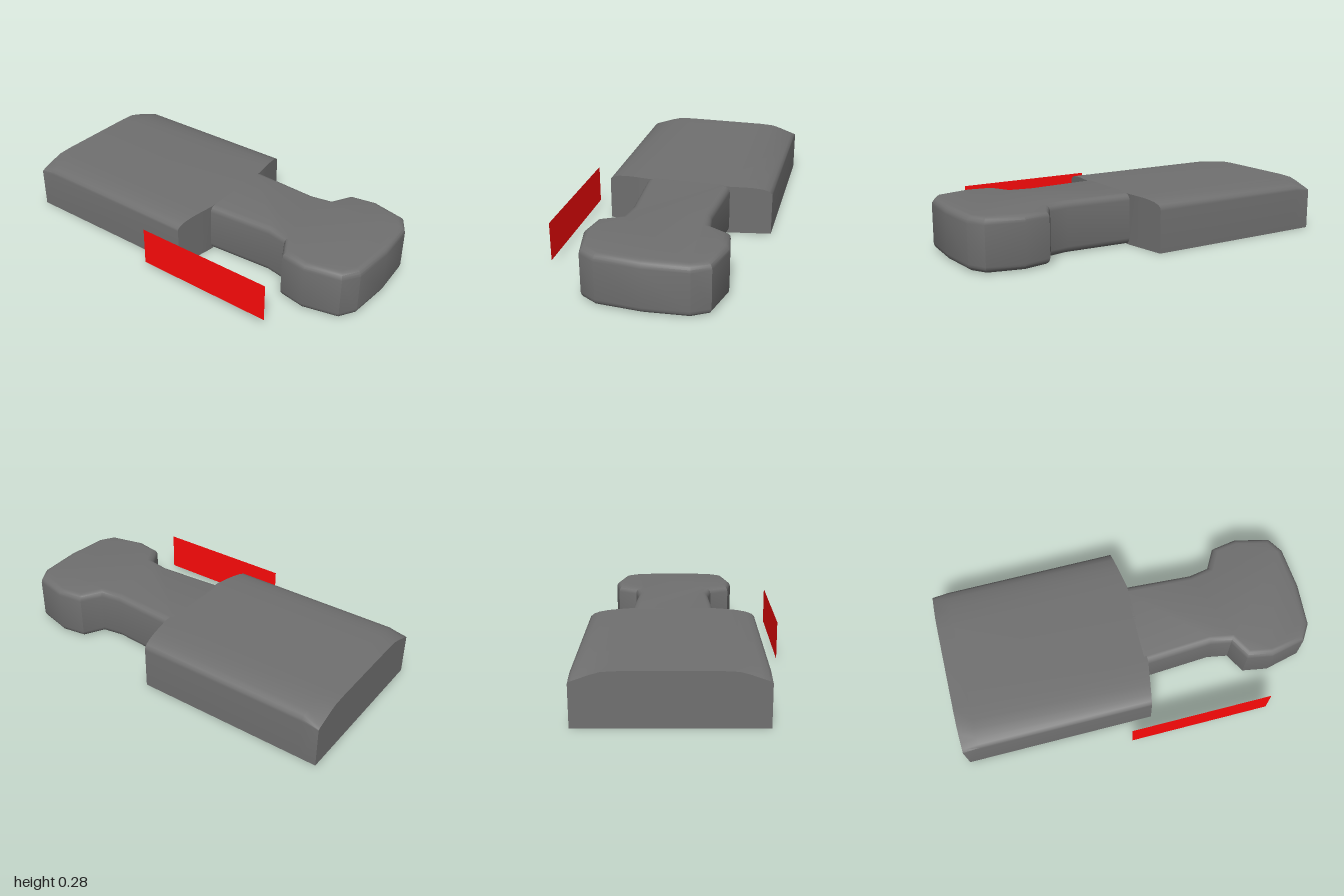
import * as THREE from 'three';
import { toCreasedNormals } from 'three/addons/utils/BufferGeometryUtils.js';

const CENTER_X = 0.057, TOP = 0.275;
const grey = new THREE.MeshStandardMaterial({ color: 0x707070 });
const red = new THREE.MeshStandardMaterial({ color: 0xff0a0a, side: THREE.DoubleSide });

// Half section of the block: [x, top height, top height at the clipped rear end]
const HALF = [
  [0.23, TOP, 0.274], [0.31, 0.273, 0.27], [0.36, 0.27, 0.256], [0.41, 0.263, 0.238],
  [0.442, 0.252, 0.227], [0.457, 0.238, 0.221], [0.459, 0.224, 0.215],
];

// Block with rounded upper shoulders, sloped front corners and clipped rear corners
function blockGeometry() {
  const columns = [...HALF.map(([x, h, r]) => [-x, h, r]).reverse(), ...HALF];
  const frontZ = x => 0.07 - 0.04 * Math.max(0, Math.abs(x) - 0.23) / 0.229;
  const rows = columns.map(([x, h, r]) => ({
    top: [[x, h, frontZ(x)], [x, h, -0.91], [x, r, -1]],
    bottom: [[x, 0, frontZ(x)], [x, 0, -0.91], [x, 0, -1]],
  }));
  const pos = [];
  const quad = (a, b, c, d) => pos.push(...a, ...b, ...c, ...a, ...c, ...d);
  for (let i = 0; i < rows.length - 1; i++) {
    const l = rows[i], r = rows[i + 1];
    quad(l.bottom[0], r.bottom[0], r.top[0], l.top[0]);       // front
    quad(r.bottom[2], l.bottom[2], l.top[2], r.top[2]);       // rear
    for (let k = 0; k < 2; k++) {
      quad(l.top[k], r.top[k], r.top[k + 1], l.top[k + 1]);
      quad(r.bottom[k], l.bottom[k], l.bottom[k + 1], r.bottom[k + 1]);
    }
  }
  const l = rows[0], r = rows[rows.length - 1];
  for (let k = 0; k < 2; k++) {                               // sides
    quad(l.bottom[k + 1], l.bottom[k], l.top[k], l.top[k + 1]);
    quad(r.bottom[k], r.bottom[k + 1], r.top[k + 1], r.top[k]);
  }
  const geo = new THREE.BufferGeometry();
  geo.setAttribute('position', new THREE.Float32BufferAttribute(pos, 3));
  return toCreasedNormals(geo, 0.9);
}

// Neck flaring into a rounded tab, with softened upper and lower edges
function tabGeometry() {
  const half = [
    [0.232, 0.02], [0.232, 0.07], [0.21, 0.43], [0.23, 0.54], [0.338, 0.6],
    [0.362, 0.74], [0.317, 0.93], [0.23, 0.983],
  ];
  const outline = [
    ...half, [0, 1], ...half.map(([x, z]) => [-x, z]).reverse(),
  ].map(([x, z]) => new THREE.Vector2(x, z));
  const bevel = 0.035, base = 0.002;
  const geo = new THREE.ExtrudeGeometry(new THREE.Shape(outline), {
    depth: TOP - base - 2 * bevel, bevelEnabled: true, bevelThickness: bevel,
    bevelSize: bevel, bevelOffset: -bevel, bevelSegments: 4,
  });
  geo.rotateX(Math.PI / 2).translate(0, TOP - bevel, 0);
  return toCreasedNormals(geo, 0.5);
}

export function createModel() {
  const model = new THREE.Group();
  const add = (name, geometry, material, x, y = 0, z = 0) => {
    const mesh = new THREE.Mesh(geometry, material);
    mesh.name = name;
    mesh.position.set(x, y, z);
    model.add(mesh);
    return mesh;
  };
  add('block', blockGeometry(), grey, CENTER_X);
  add('neckAndTab', tabGeometry(), grey, CENTER_X);

  // Thin upright panel standing beside the body
  add('sidePanel', new THREE.PlaneGeometry(0.77, 0.21), red, -0.516, 0.137, 0.277)
    .rotation.y = -Math.PI / 2;
  return model;
}
